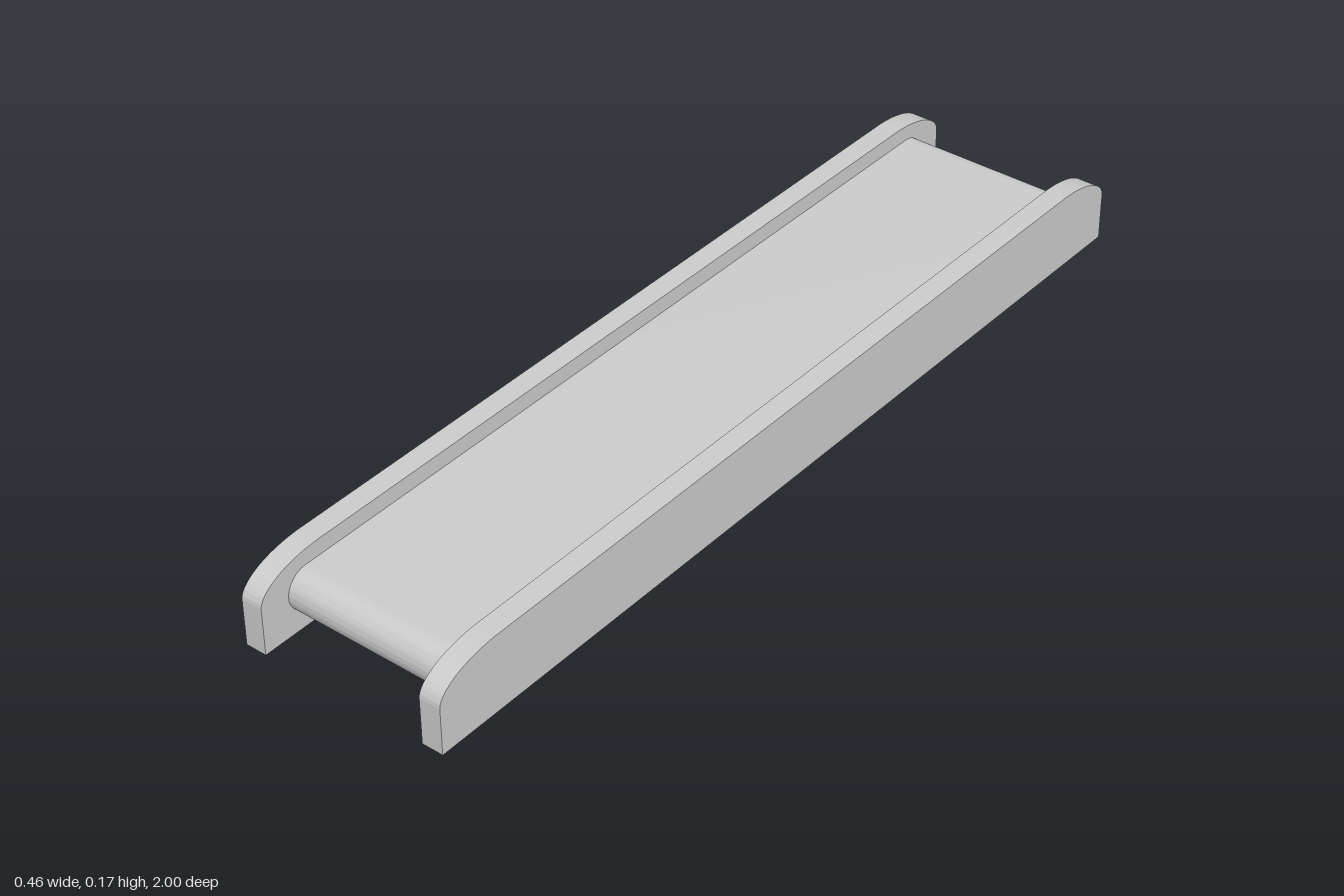
import * as THREE from 'three';
import { toCreasedNormals } from 'three/addons/utils/BufferGeometryUtils.js';

const material = new THREE.MeshStandardMaterial({ color: 0xcccccc });

// Extrudes a side profile across x, centred on the given x
function sidePart(name, shape, width, x) {
  const geometry = new THREE.ExtrudeGeometry(shape, { depth: width, bevelEnabled: false, curveSegments: 20 });
  geometry.translate(0, 0, -width / 2);
  geometry.rotateY(Math.PI / 2);
  const mesh = new THREE.Mesh(toCreasedNormals(geometry, 0.6), material);
  mesh.name = name;
  mesh.position.x = x;
  return mesh;
}

export function createModel() {
  const group = new THREE.Group();
  group.name = 'conveyor';

  // Side rails: flat bottom, elliptical upper corners
  const height = 0.165, cornerLength = 0.15, cornerHeight = 0.065;
  const rail = new THREE.Shape();
  rail.moveTo(-1, 0);
  rail.lineTo(1, 0);
  rail.lineTo(1, height - cornerHeight);
  rail.absellipse(1 - cornerLength, height - cornerHeight, cornerLength, cornerHeight, 0, Math.PI / 2, false, 0);
  rail.absellipse(-1 + cornerLength, height - cornerHeight, cornerLength, cornerHeight, Math.PI / 2, Math.PI, false, 0);
  rail.closePath();
  group.add(sidePart('leftRail', rail, 0.046, 0.205));
  group.add(sidePart('rightRail', rail, 0.046, -0.205));

  // Belt: long slab with half-round ends
  const radius = 0.046, centreY = 0.084, end = 0.935 - radius;
  const belt = new THREE.Shape();
  belt.moveTo(-end, centreY - radius);
  belt.lineTo(end, centreY - radius);
  belt.absarc(end, centreY, radius, -Math.PI / 2, Math.PI / 2, false);
  belt.absarc(-end, centreY, radius, Math.PI / 2, Math.PI * 1.5, false);
  group.add(sidePart('belt', belt, 0.364, 0));

  return group;
}
